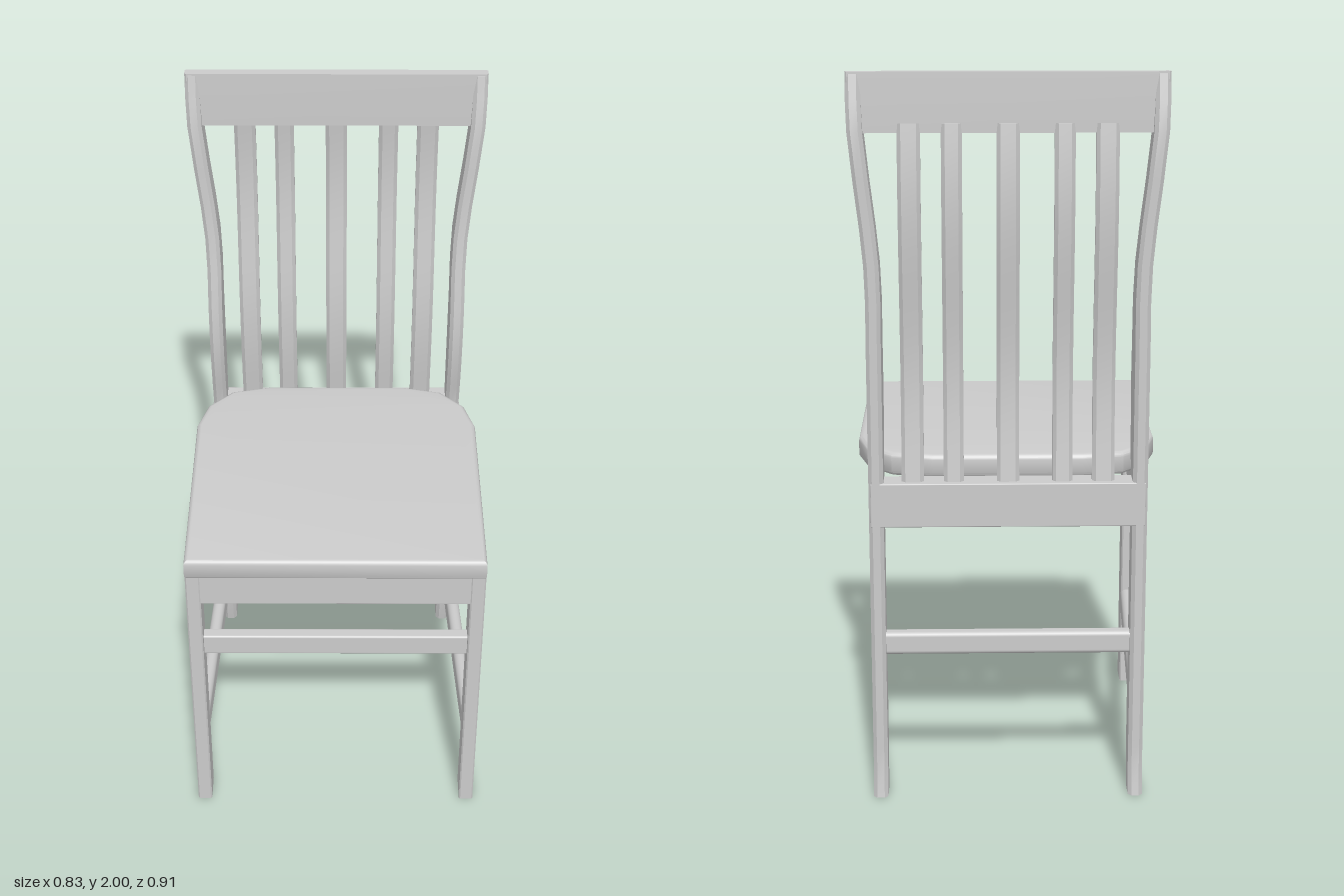
import * as THREE from 'three';
import { toCreasedNormals } from 'three/addons/utils/BufferGeometryUtils.js';
import { RoundedBoxGeometry } from 'three/addons/geometries/RoundedBoxGeometry.js';

const material = new THREE.MeshStandardMaterial({ color: 0xcccccc });

function add(group, name, geometry, x = 0, y = 0, z = 0) {
  const mesh = new THREE.Mesh(geometry, material);
  mesh.name = name;
  mesh.position.set(x, y, z);
  group.add(mesh);
  return mesh;
}

// Loft of chamfered rectangles; each row is [y, xMin, xMax, zBack, zFront]
function loft(rows, chamfer) {
  const pos = [], idx = [], n = 8;
  for (const [y, x0, x1, z0, z1] of rows) {
    const c = Math.min(chamfer, (x1 - x0) / 3, (z1 - z0) / 3);
    const ring = [
      [x0 + c, z1], [x1 - c, z1], [x1, z1 - c], [x1, z0 + c],
      [x1 - c, z0], [x0 + c, z0], [x0, z0 + c], [x0, z1 - c],
    ];
    for (const [x, z] of ring) pos.push(x, y, z);
  }
  for (let r = 0; r < rows.length - 1; r++) {
    for (let i = 0; i < n; i++) {
      const a = r * n + i, b = r * n + (i + 1) % n;
      idx.push(a, b, b + n, a, b + n, a + n);
    }
  }
  const top = (rows.length - 1) * n;
  for (let i = 1; i < n - 1; i++) {
    idx.push(0, i + 1, i, top, top + i, top + i + 1);
  }
  const g = new THREE.BufferGeometry();
  g.setAttribute('position', new THREE.Float32BufferAttribute(pos, 3));
  g.setIndex(idx);
  return toCreasedNormals(g, 0.6);
}

// Horizontal rail between two points [x, z]
function rail(group, name, a, b, yMin, yMax, width, radius) {
  const dx = b[0] - a[0], dz = b[1] - a[1];
  const g = new RoundedBoxGeometry(width, yMax - yMin, Math.hypot(dx, dz), 3, radius);
  const mesh = add(group, name, g, (a[0] + b[0]) / 2, (yMin + yMax) / 2, (a[1] + b[1]) / 2);
  mesh.rotation.y = Math.atan2(dx, dz);
}

// Rear leg and back post in one: [y, xMin, z back, z front], 0.04 wide
const POST = [
  [0, 0.335, -0.455, -0.375], [0.09, 0.335, -0.44, -0.357], [0.16, 0.335, -0.44, -0.352],
  [0.91, 0.335, -0.44, -0.35], [1.0, 0.335, -0.44, -0.328], [1.1, 0.335, -0.44, -0.311],
  [1.19, 0.335, -0.44, -0.306], [1.28, 0.335, -0.44, -0.312], [1.4, 0.334, -0.44, -0.328],
  [1.5, 0.337, -0.44, -0.341], [1.6, 0.346, -0.44, -0.349], [1.72, 0.36, -0.441, -0.353],
  [1.85, 0.373, -0.443, -0.357], [1.93, 0.376, -0.428, -0.373], [1.995, 0.376, -0.415, -0.385],
];

export function createModel() {
  const chair = new THREE.Group();
  chair.name = 'chair';

  // Seat with cut rear corners and softened edges
  const b = 0.014;
  const half = [[0.413, 0.455], [0.413, -0.175], [0.386, -0.27], [0.32, -0.34], [0.21, -0.365]];
  const outline = [...half, ...half.map(([x, z]) => [-x, z]).reverse()];
  const shape = new THREE.Shape(outline.map(([x, z]) =>
    new THREE.Vector2(x * (1 - b / 0.413), -(z - 0.045) * (1 - b / 0.41) - 0.045)));
  const seat = new THREE.ExtrudeGeometry(shape, {
    depth: 0.065 - 2 * b, bevelThickness: b, bevelSize: b, bevelSegments: 4,
  });
  seat.rotateX(-Math.PI / 2);
  add(chair, 'seat', toCreasedNormals(seat, 0.6), 0, 0.905 + b, 0);

  for (const s of [1, -1]) {
    const side = s > 0 ? 'left' : 'right';
    const span = (x0, x1) => (s > 0 ? [x0, x1] : [-x1, -x0]);

    // Legs and posts
    const frontLeg = [0, 0.905].map((y) => [y, ...span(0.374, 0.415), 0.342, 0.428]);
    add(chair, side + 'FrontLeg', loft(frontLeg, 0.004));
    const post = POST.map(([y, x, z0, z1]) => [y, ...span(x, x + 0.04), z0, z1]);
    add(chair, side + 'RearLegAndPost', loft(post, 0.01));

    // Side rails narrow towards the back
    rail(chair, side + 'Apron', [s * 0.395, 0.42], [s * 0.356, -0.42], 0.79, 0.905, 0.038, 0.003);
    rail(chair, side + 'Stretcher', [s * 0.393, 0.37], [s * 0.357, -0.38], 0.23, 0.312, 0.038, 0.018);
  }

  // Front and rear rails
  rail(chair, 'frontApron', [-0.413, 0.4], [0.413, 0.4], 0.79, 0.905, 0.05, 0.003);
  rail(chair, 'rearApron', [-0.37, -0.402], [0.37, -0.402], 0.79, 0.912, 0.076, 0.003);
  rail(chair, 'frontStretcher', [-0.39, 0.385], [0.39, 0.385], 0.578, 0.645, 0.036, 0.006);
  rail(chair, 'rearStretcher', [-0.35, -0.4], [0.35, -0.4], 0.413, 0.477, 0.04, 0.012);

  // Top rail of the back, slightly wider at the top
  const crest = [
    [1.845, -0.412, 0.412, -0.416, -0.384], [1.92, -0.415, 0.415, -0.416, -0.384],
    [2, -0.416, 0.416, -0.414, -0.386],
  ];
  add(chair, 'topRail', loft(crest, 0.005));

  // Wavy back slats
  for (const [x, w] of [[-0.256, 0.06], [-0.146, 0.054], [0, 0.06], [0.146, 0.054], [0.256, 0.06]]) {
    const rows = [];
    for (let i = 0; i <= 20; i++) {
      const t = i / 20;
      const z = -0.402 + 0.018 * Math.sin(t * Math.PI * 2 - 0.3);
      rows.push([0.9 + t * 0.97, x - w / 2, x + w / 2, z - 0.016, z + 0.016]);
    }
    add(chair, 'backSlat', loft(rows, 0.01));
  }
  return chair;
}
